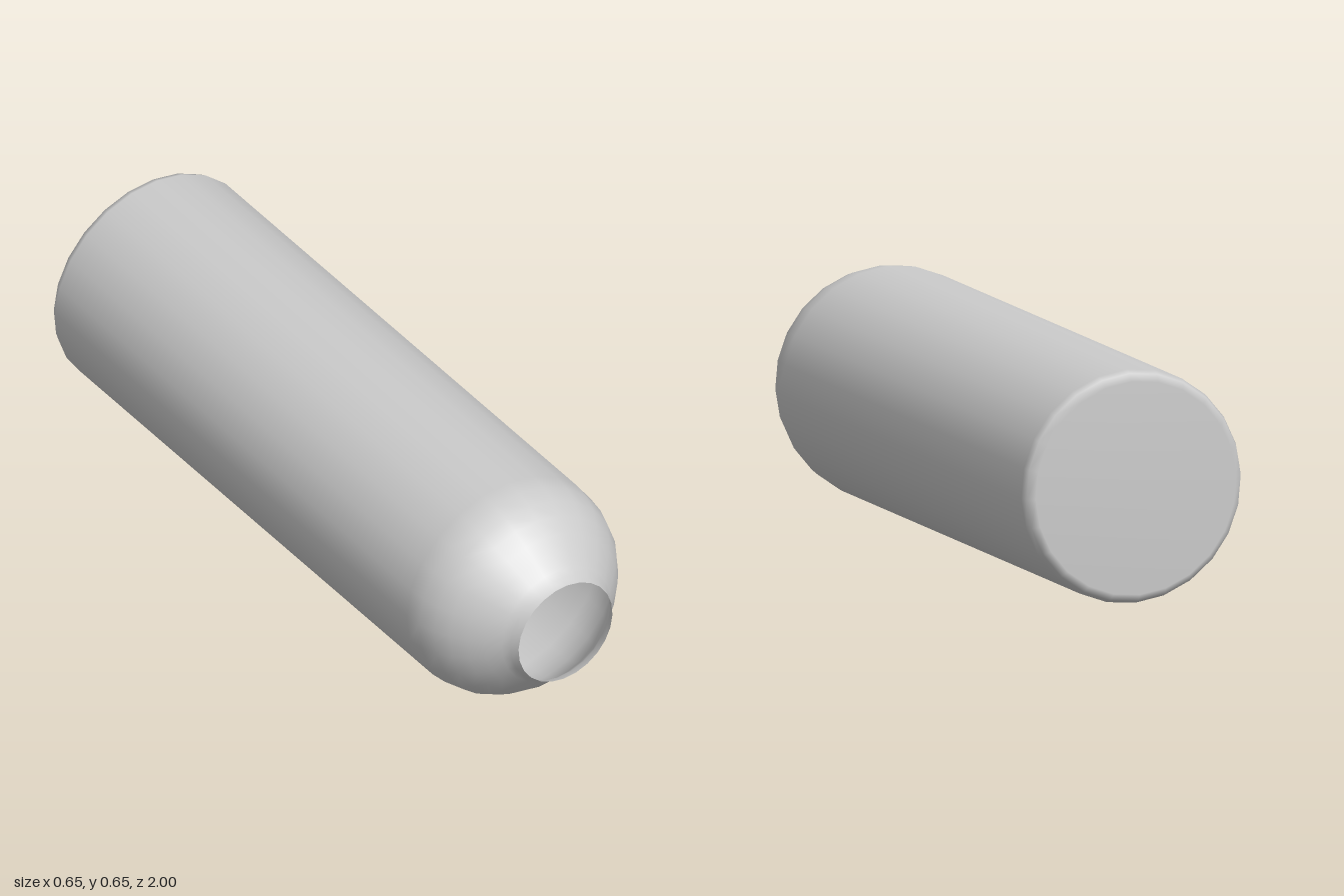
import * as THREE from 'three';

export function createModel() {
  const group = new THREE.Group();
  group.name = 'hollowBottle';
  const material = new THREE.MeshStandardMaterial({ color: 0xcccccc, side: THREE.DoubleSide });

  // Profile as [radius, z]: flat base, bevel, straight body, dome, flared open mouth
  const profile = [
    [0, -1], [0.295, -1], [0.315, -0.985], [0.323, -0.965],
    [0.323, 0.71], [0.317, 0.76], [0.302, 0.81], [0.278, 0.85],
    [0.247, 0.89], [0.212, 0.925], [0.18, 0.957], [0.165, 0.975], [0.155, 1],
  ].map(([r, z]) => new THREE.Vector2(r, z));

  // Lathe around y, then lay the axis along z with the mouth at the front
  const shell = new THREE.LatheGeometry(profile, 24, -0.04);
  shell.rotateX(Math.PI / 2);
  shell.translate(0, 0.325, 0);

  const body = new THREE.Mesh(shell, material);
  body.name = 'bottleShell';
  group.add(body);
  return group;
}
